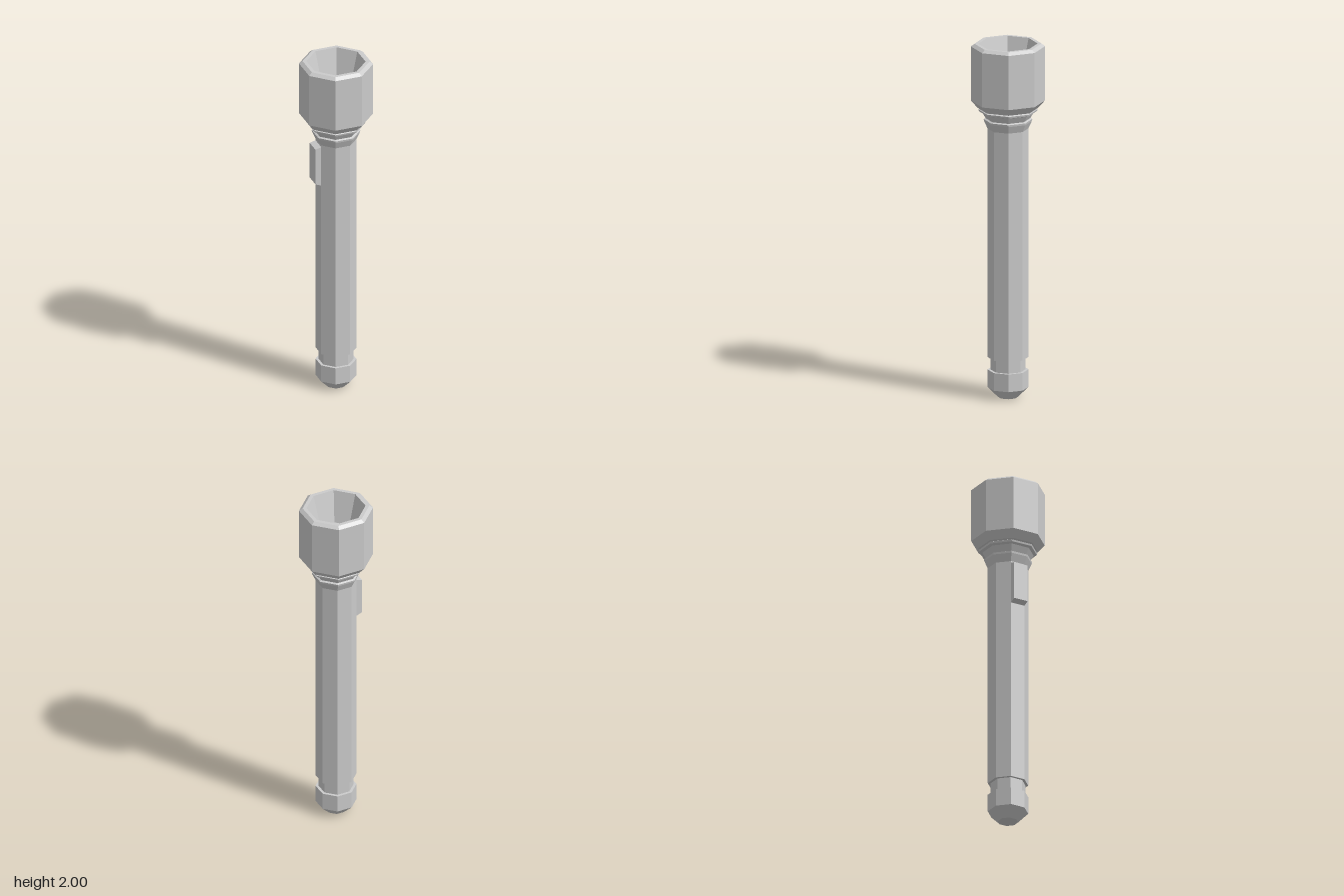
import * as THREE from 'three';

const SIDES = 8;
const BODY_R = 0.112;

export function createModel() {
  const model = new THREE.Group();
  model.name = 'flashlight';
  const material = new THREE.MeshStandardMaterial({ color: 0xcccccc, flatShading: true });

  const add = (name, geometry) => {
    const mesh = new THREE.Mesh(geometry, material);
    mesh.name = name;
    model.add(mesh);
    return mesh;
  };
  // Octagonal turned part from [radius, height] pairs, listed bottom to top
  const turned = (name, profile) =>
    add(name, new THREE.LatheGeometry(profile.map(([r, y]) => new THREE.Vector2(r, y)), SIDES));

  // Tail cap with chamfered end and the groove above it
  turned('tailCap', [
    [0, 0], [0.056, 0], [BODY_R, 0.055], [BODY_R, 0.155], [0.096, 0.155], [0.096, 0.225],
  ]);

  // Long grip, flaring out at the neck
  turned('barrel', [
    [0.096, 0.225], [BODY_R, 0.225], [BODY_R, 1.52], [0.131, 1.562], [0.133, 1.573], [0.122, 1.578],
  ]);

  // Neck ring
  turned('neckRing', [
    [0.122, 1.578], [0.142, 1.612], [0.159, 1.618], [0.162, 1.628], [0.15, 1.634],
  ]);

  // Head with chamfered rim and hollow reflector
  turned('head', [
    [0.15, 1.634], [0.165, 1.636], [0.203, 1.678], [0.203, 1.985], [0.183, 2],
    [0.162, 2], [0.113, 1.82], [0, 1.82],
  ]);

  // Switch plate covering one facet of the barrel, with sloped ends
  const half = Math.PI / SIDES;
  const inner = BODY_R * Math.cos(half) - 0.002;
  const outer = BODY_R * Math.cos(half) + 0.034;
  const plate = new THREE.BoxGeometry(2 * BODY_R * Math.sin(half), 0.24, outer - inner);
  const pos = plate.attributes.position;
  for (let i = 0; i < pos.count; i++) {
    if (pos.getZ(i) > 0) pos.setY(i, pos.getY(i) > 0 ? 0.11 : -0.105);
  }
  plate.translate(0, 1.39, (inner + outer) / 2);
  add('switch', plate).rotation.y = -5 * half;

  return model;
}
